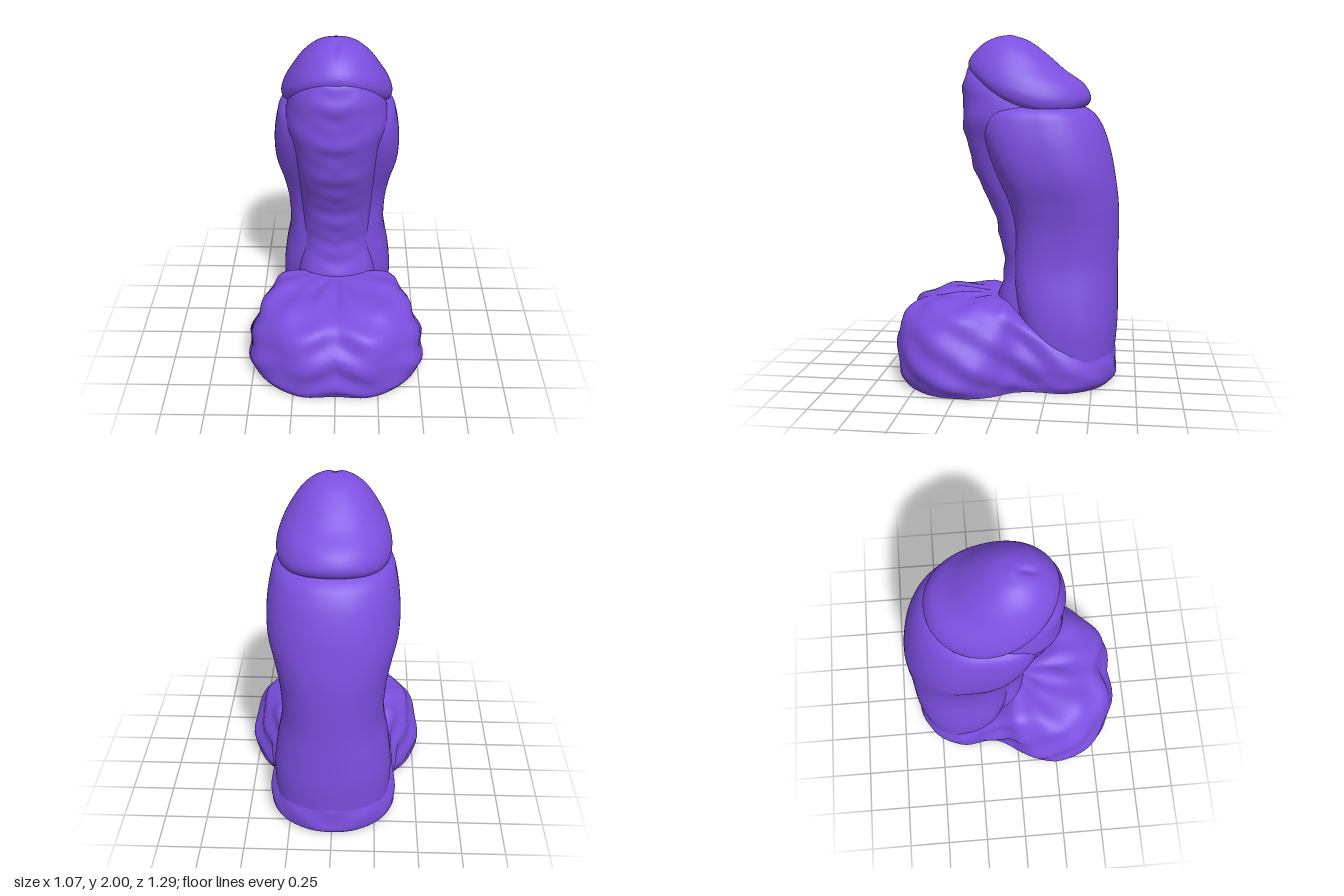
import * as THREE from 'three';

const SEG = 96;
const V = (x, y, z) => new THREE.Vector3(x, y, z);
const bell = (t, w) => Math.exp(-(t * t) / (w * w));
const smooth = THREE.MathUtils.smoothstep;

// Smooth loft through closed rings of points, listed from bottom to top
function loft(rings, steps, displace) {
  const pos = [], idx = [];
  const curves = rings[0].map((_, j) => new THREE.CatmullRomCurve3(rings.map(r => r[j]), false, 'centripetal'));
  for (let i = 0; i <= steps; i++) {
    for (let j = 0; j < SEG; j++) {
      const p = curves[j].getPoint(i / steps);
      if (displace) displace(p, j / SEG * Math.PI * 2);
      pos.push(p.x, p.y, p.z);
    }
  }
  for (let i = 0; i < steps; i++) {
    for (let j = 0; j < SEG; j++) {
      const k = (j + 1) % SEG, a = i * SEG + j, b = i * SEG + k;
      idx.push(a, b, a + SEG, b, b + SEG, a + SEG);
    }
  }
  // Flat caps on their own vertices, so that the rims stay crisp
  [0, steps].forEach((row, top) => {
    const start = pos.length / 3, c = V(0, 0, 0);
    for (let j = 0; j < SEG; j++) {
      const o = (row * SEG + j) * 3;
      pos.push(pos[o], pos[o + 1], pos[o + 2]);
      c.add(V(pos[o], pos[o + 1], pos[o + 2]));
    }
    c.divideScalar(SEG);
    pos.push(c.x, c.y, c.z);
    for (let j = 0; j < SEG; j++) {
      const a = start + j, b = start + (j + 1) % SEG;
      if (top) idx.push(a, b, start + SEG);
      else idx.push(b, a, start + SEG);
    }
  });
  const g = new THREE.BufferGeometry();
  g.setAttribute('position', new THREE.Float32BufferAttribute(pos, 3));
  g.setIndex(idx);
  g.computeVertexNormals();
  return g;
}

// Superellipse ring: front and back points, half width, squareness of the front, sag of the sides
function ring(zf, yf, zb, yb, hw, power = 2, sag = 0) {
  const pts = [];
  for (let j = 0; j < SEG; j++) {
    const a = j / SEG * Math.PI * 2, s = Math.sin(a), c = Math.cos(a);
    const n = 2 / (c > 0 ? power : 2.1);
    const cx = Math.sign(s) * Math.abs(s) ** n, cz = Math.sign(c) * Math.abs(c) ** n;
    const t = (1 + cz) / 2;
    pts.push(V(hw * cx, yb + (yf - yb) * t - sag * s * s, zb + (zf - zb) * t));
  }
  return pts;
}

export function createModel() {
  const group = new THREE.Group();
  const purple = new THREE.MeshStandardMaterial({ color: 0x7c4fe0 });
  purple.name = 'purple';
  const add = (name, geometry) => {
    const m = new THREE.Mesh(geometry, purple);
    m.name = name;
    group.add(m);
  };

  // Outer sleeve around the back and sides: y, front z, back z, half width
  const sleeve = [
    [0.1, -0.1, -0.62, 0.33], [0.35, -0.07, -0.64, 0.34], [0.5, -0.04, -0.64, 0.325],
    [0.7, -0.03, -0.637, 0.292], [0.9, -0.03, -0.64, 0.298], [1.05, 0, -0.635, 0.325],
    [1.2, 0.06, -0.615, 0.36], [1.35, 0.12, -0.585, 0.364], [1.48, 0.15, -0.54, 0.347],
    [1.56, 0.13, -0.485, 0.322], [1.61, 0.05, -0.4, 0.26],
  ].map(([y, f, b, w]) => ring(f, y, b, y, w, 3.2));
  add('outerSleeve', loft(sleeve, 60));

  // Inner column with a creased front
  const column = [
    [0.3, 0.1, -0.4, 0.25], [0.5, 0.06, -0.4, 0.235], [0.65, 0.025, -0.4, 0.215],
    [0.8, 0.045, -0.4, 0.21], [1, 0.095, -0.35, 0.215], [1.2, 0.19, -0.3, 0.225],
    [1.4, 0.245, -0.3, 0.25], [1.52, 0.268, -0.38, 0.285], [1.62, 0.262, -0.36, 0.275],
    [1.72, 0.268, -0.25, 0.235], [1.8, 0.245, -0.15, 0.17], [1.85, 0.2, -0.1, 0.1],
  ].map(([y, f, b, w]) => ring(f, y, b, y, w, 2.5));
  add('innerColumn', loft(column, 90, (p, a) => {
    const front = Math.max(0, Math.cos(a)) ** 2;
    const fold = Math.sin(p.y * 31 + 7 * Math.abs(p.x)) + 0.6 * Math.sin(p.y * 53 - 15 * Math.abs(p.x));
    p.z += front * 0.005 * fold * Math.cos(p.x * 8);
  }));

  // Domed cap with a tilted lip
  const cap = [
    ring(0.13, 1.73, -0.33, 1.6, 0.22, 2, 0.07), ring(0.215, 1.78, -0.44, 1.595, 0.295, 2, 0.085),
    ring(0.235, 1.815, -0.468, 1.64, 0.312, 2, 0.08), ring(0.235, 1.85, -0.435, 1.715, 0.295, 2, 0.06),
    ring(0.205, 1.9, -0.32, 1.8, 0.245, 2, 0.03), ring(0.15, 1.95, -0.21, 1.895, 0.18, 2, 0.01),
    ring(0.08, 1.985, -0.11, 1.965, 0.1), ring(0.005, 2, -0.005, 2, 0.004),
  ];
  add('domedCap', loft(cap, 60, p => {
    if (p.y > 1.85) p.y -= 0.015 * bell(p.x, 0.02) * bell(p.z - 0.08, 0.05);
  }));

  // Lumpy base: plan outline of the left half, mirrored and scaled about the middle
  const half = [
    [0, 0.63], [0.21, 0.635], [0.38, 0.545], [0.5, 0.4], [0.53, 0.25], [0.515, 0.13], [0.465, 0.03],
    [0.385, -0.07], [0.36, -0.2], [0.37, -0.37], [0.28, -0.53], [0.14, -0.62], [0, -0.64],
  ];
  const outline = [...half, ...half.slice(1, -1).reverse().map(([x, z]) => [-x, z])];
  const plan = new THREE.CatmullRomCurve3(outline.map(([x, z]) => V(x, 0, z)), true).getSpacedPoints(SEG).slice(0, SEG);
  const layers = [[0.94, 0], [0.99, 0.12], [1, 0.3], [0.995, 0.5], [0.96, 0.7], [0.88, 0.86], [0.74, 0.96], [0.45, 1], [0.02, 1]];
  const base = layers.map(([s, h]) => plan.map(p => {
    const height = 0.3 + 0.19 * smooth(p.z, -0.4, 0.02);
    // The sides lean in more than the front does
    const side = Math.abs(p.x) / Math.hypot(p.x, p.z) * smooth(p.z, -0.1, 0.1);
    const lean = 1 - 0.09 * side * smooth(h, 0.25, 0.75);
    return V(p.x * s * lean, height * h, p.z * s);
  }));
  add('base', loft(base, 64, p => {
    const x = Math.abs(p.x), r = Math.hypot(x, p.z) || 1;
    const around = Math.atan2(x, p.z);
    const lump = Math.sin(11 * around + 9 * p.y + 0.8) * Math.sin(24 * p.y + 8 * r + 2 * around)
      + 0.5 * Math.sin(31 * p.y + 7 * around - 12 * r);
    const d = 0.012 * lump * smooth(p.y, 0, 0.08) * smooth(r, 0.05, 0.35) * (p.z < -0.3 ? 0.6 : 1);
    p.x += d * p.x / r;
    p.z += d * p.z / r;
    p.y += 0.9 * d * smooth(p.y, 0.2, 0.45);
  }));

  return group;
}
